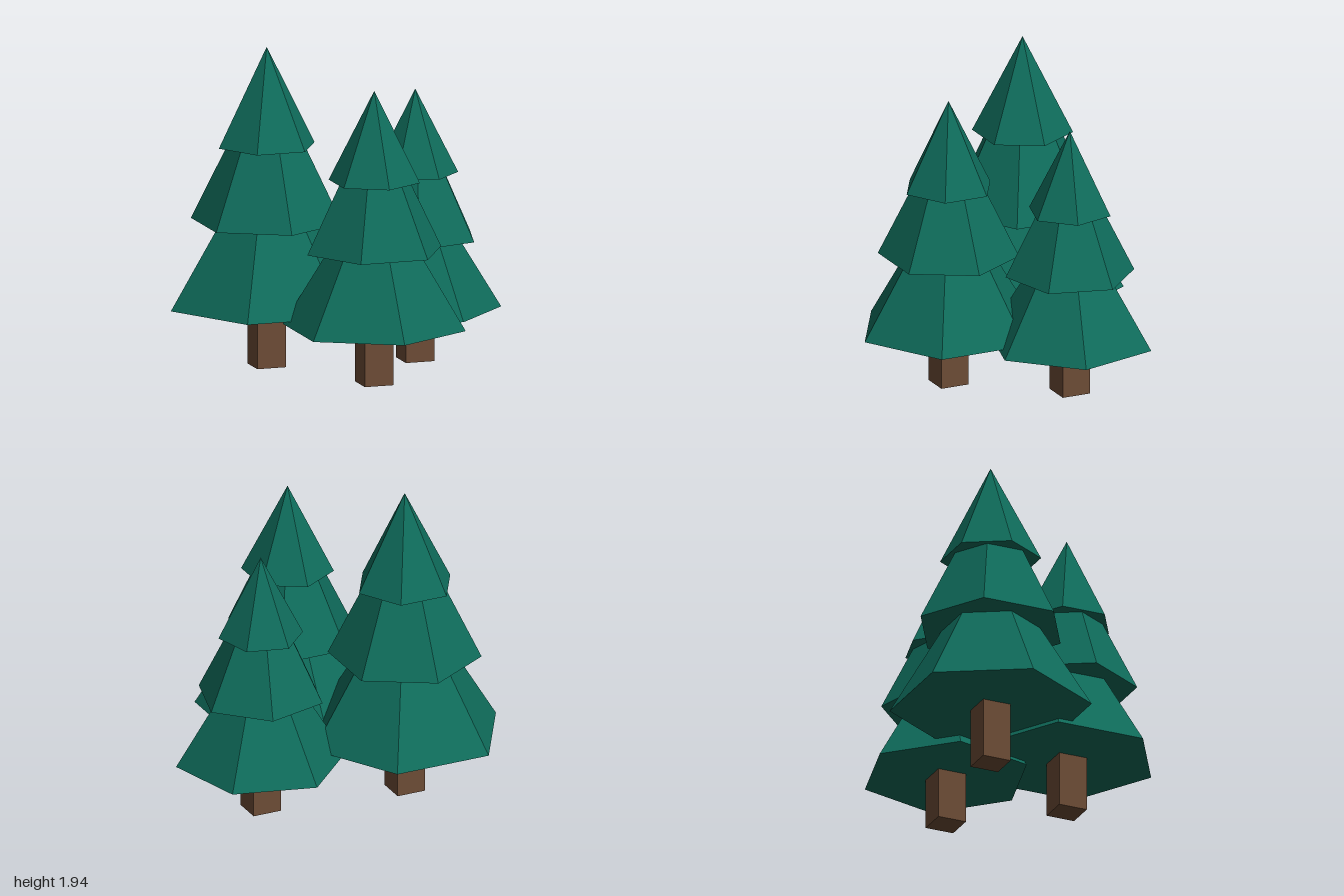
import * as THREE from 'three';

const needles = new THREE.MeshStandardMaterial({ color: 0x0f6c5b });
needles.name = 'pineGreen';
const bark = new THREE.MeshStandardMaterial({ color: 0x6d4c36 });
bark.name = 'barkBrown';

// Tier sizes of the tallest tree; the smaller trees scale these down
const TIERS = [
  { name: 'lowerTier', radius: 0.605, base: 0.37, height: 1.0 },
  { name: 'middleTier', radius: 0.46, base: 0.88, height: 0.94 },
  { name: 'topTier', radius: 0.302, base: 1.34, height: 0.6 },
];
const TRUNK = 0.18;

// Six-sided cone with hard facets and a closed underside
function tier({ name, radius, base, height }, scale, turn) {
  const cone = new THREE.ConeGeometry(radius * scale, height * scale, 6).toNonIndexed();
  cone.computeVertexNormals();
  const mesh = new THREE.Mesh(cone, needles);
  mesh.name = name;
  mesh.position.y = (base + height / 2) * scale;
  mesh.rotation.y = THREE.MathUtils.degToRad(turn);
  return mesh;
}

function tree(name, x, z, scale, turn) {
  const group = new THREE.Group();
  group.name = name;
  group.position.set(x, 0, z);

  // Square trunk, reaching a little way into the lowest tier
  const height = 0.45 * scale;
  const trunk = new THREE.Mesh(new THREE.BoxGeometry(TRUNK, height, TRUNK), bark);
  trunk.name = 'trunk';
  trunk.position.y = height / 2;
  group.add(trunk);

  // Alternate tiers are turned by half a facet
  TIERS.forEach((t, i) => group.add(tier(t, scale, turn + (i % 2) * 30)));
  return group;
}

export function createModel() {
  const model = new THREE.Group();
  model.name = 'pineTrees';
  model.add(
    tree('tallTree', -0.395, -0.37, 1, 30),
    tree('frontTree', 0.04, 0.333, 0.918, 0),
    tree('smallTree', 0.5, -0.248, 0.849, 15),
  );
  return model;
}
